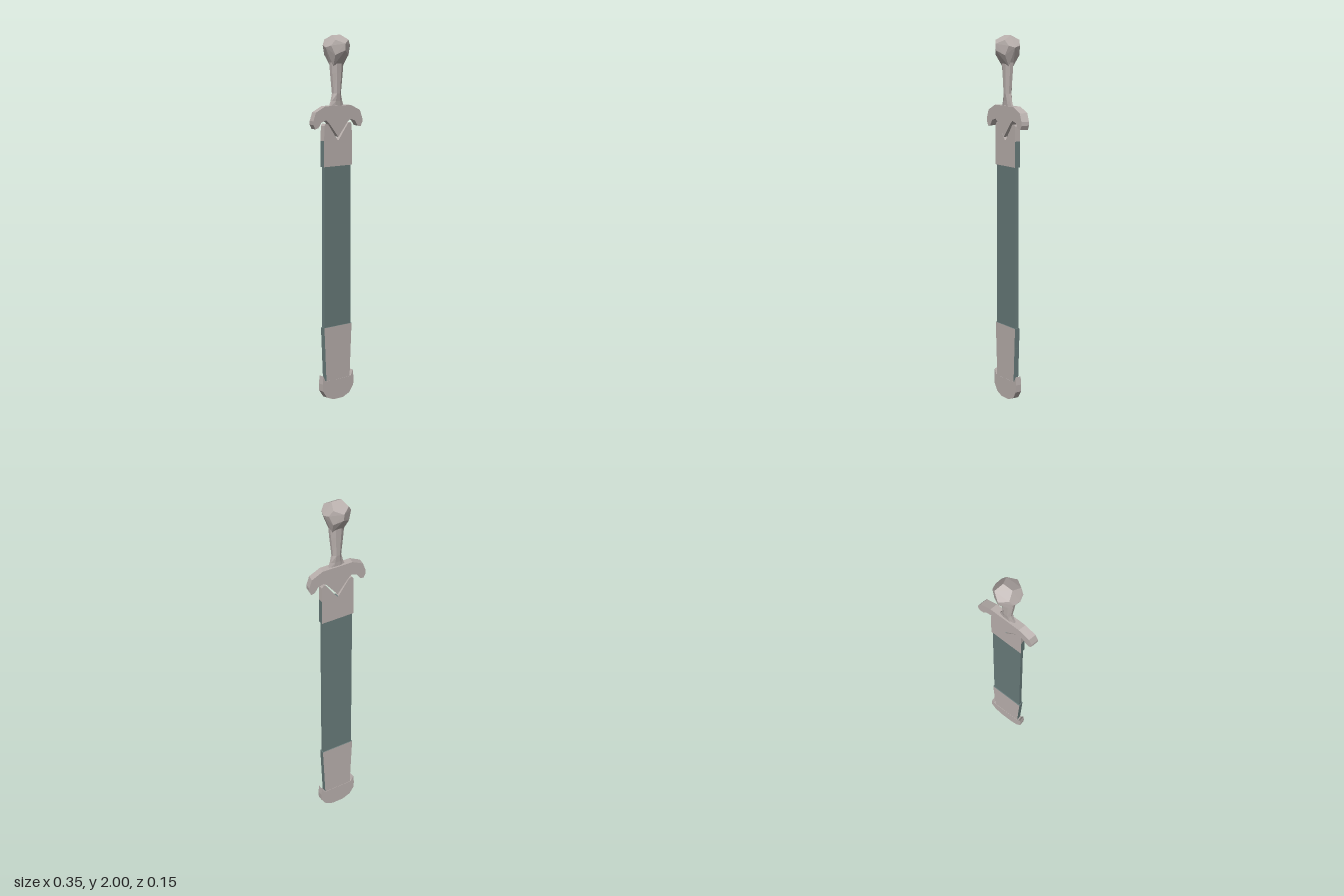
import * as THREE from 'three';
import { ConvexGeometry } from 'three/addons/geometries/ConvexGeometry.js';

const metal = new THREE.MeshStandardMaterial({ color: 0xb9b0ad });
metal.name = 'paleMetal';
const leather = new THREE.MeshStandardMaterial({ color: 0x687b7a });
leather.name = 'tealLeather';

// Flat plate cut from an outline, centred on z = 0
function plate(name, points, depth, material) {
  const shape = new THREE.Shape(points.map(([x, y]) => new THREE.Vector2(x, y)));
  const geo = new THREE.ExtrudeGeometry(shape, { depth, bevelEnabled: false });
  geo.translate(0, 0, -depth / 2);
  const mesh = new THREE.Mesh(geo, material);
  mesh.name = name;
  return mesh;
}

// Closes a half outline (given top to bottom on +x) with its mirror image
function mirrored(half) {
  const left = half.filter(([x]) => x > 0).map(([x, y]) => [-x, y]).reverse();
  return [...half, ...left];
}

// Faceted pommel with a ridge on top, narrowing to the grip
function pommel() {
  const pts = [];
  for (const s of [-1, 1]) {
    pts.push([0.028 * s, 2, 0], [0.075 * s, 1.935, 0], [0, 1.955, 0.076 * s], [0, 1.92, 0.074 * s]);
    for (const t of [-1, 1]) {
      pts.push([0.045 * s, 1.975, 0.046 * t], [0.066 * s, 1.945, 0.035 * t],
        [0.046 * s, 1.895, 0.046 * t], [0.033 * s, 1.835, 0.014 * t]);
    }
  }
  const mesh = new THREE.Mesh(new ConvexGeometry(pts.map(p => new THREE.Vector3(...p))), metal);
  mesh.name = 'pommel';
  return mesh;
}

// Eight-sided grip: rows of [y, half width, half depth] from top to bottom
function grip() {
  const rows = [[1.86, 0.042, 0.024], [1.8, 0.037, 0.022], [1.69, 0.025, 0.019], [1.65, 0.036, 0.014], [1.615, 0.05, 0.012]];
  const geo = new THREE.CylinderGeometry(1, 1, 1, 8, rows.length - 1);
  geo.rotateY(Math.PI / 8);
  const pos = geo.attributes.position;
  const k = 1 / Math.cos(Math.PI / 8);
  for (let i = 0; i < pos.count; i++) {
    const [y, w, d] = rows[Math.round((0.5 - pos.getY(i)) * (rows.length - 1))];
    pos.setXYZ(i, pos.getX(i) * w * k, y, pos.getZ(i) * d * k);
  }
  const flat = geo.toNonIndexed();
  flat.computeVertexNormals();
  const mesh = new THREE.Mesh(flat, metal);
  mesh.name = 'grip';
  return mesh;
}

export function createModel() {
  const sword = new THREE.Group();
  sword.name = 'sheathedSword';
  sword.add(pommel(), grip());

  // Crossguard with drooping ends and a central point, ends cut askew
  const guard = plate('crossguard', mirrored([
    [0.09, 1.625], [0.155, 1.595], [0.172, 1.55], [0.172, 1.53], [0.16, 1.507], [0.138, 1.512],
    [0.118, 1.54], [0.085, 1.55], [0.065, 1.535], [0, 1.458],
  ]), 0.042, metal);
  const gp = guard.geometry.attributes.position;
  for (let i = 0; i < gp.count; i++) gp.setX(i, gp.getX(i) - 0.2 * gp.getZ(i));
  guard.geometry.computeVertexNormals();
  sword.add(guard);

  // Scabbard body
  const body = new THREE.Mesh(new THREE.BoxGeometry(0.186, 1.1, 0.02), leather);
  body.name = 'scabbardBody';
  body.position.y = 0.85;
  sword.add(body);

  // Throat: metal faces with leather edges, and two horns around the notch
  sword.add(plate('throat', [[-0.098, 1.3], [0.098, 1.3], [0.098, 1.44], [-0.098, 1.44]], 0.03, [metal, leather]));
  for (const s of [-1, 1]) {
    sword.add(plate('throatHorn', [[0.004 * s, 1.44], [0.098 * s, 1.44], [0.096 * s, 1.52],
      [0.088 * s, 1.532], [0.07 * s, 1.528]], 0.03, metal));
  }

  // Chape: tapered metal faces with leather edges
  sword.add(plate('chape', [[-0.098, 0.415], [-0.083, 0.09], [0.083, 0.09], [0.098, 0.415]], 0.03, [metal, leather]));

  // Crescent-shaped tip
  sword.add(plate('scabbardTip', mirrored([
    [0.08, 0.112], [0.094, 0.118], [0.107, 0.145], [0.112, 0.1], [0.11, 0.06], [0.082, 0.02], [0.035, 0.001],
  ]), 0.033, metal));
  return sword;
}
